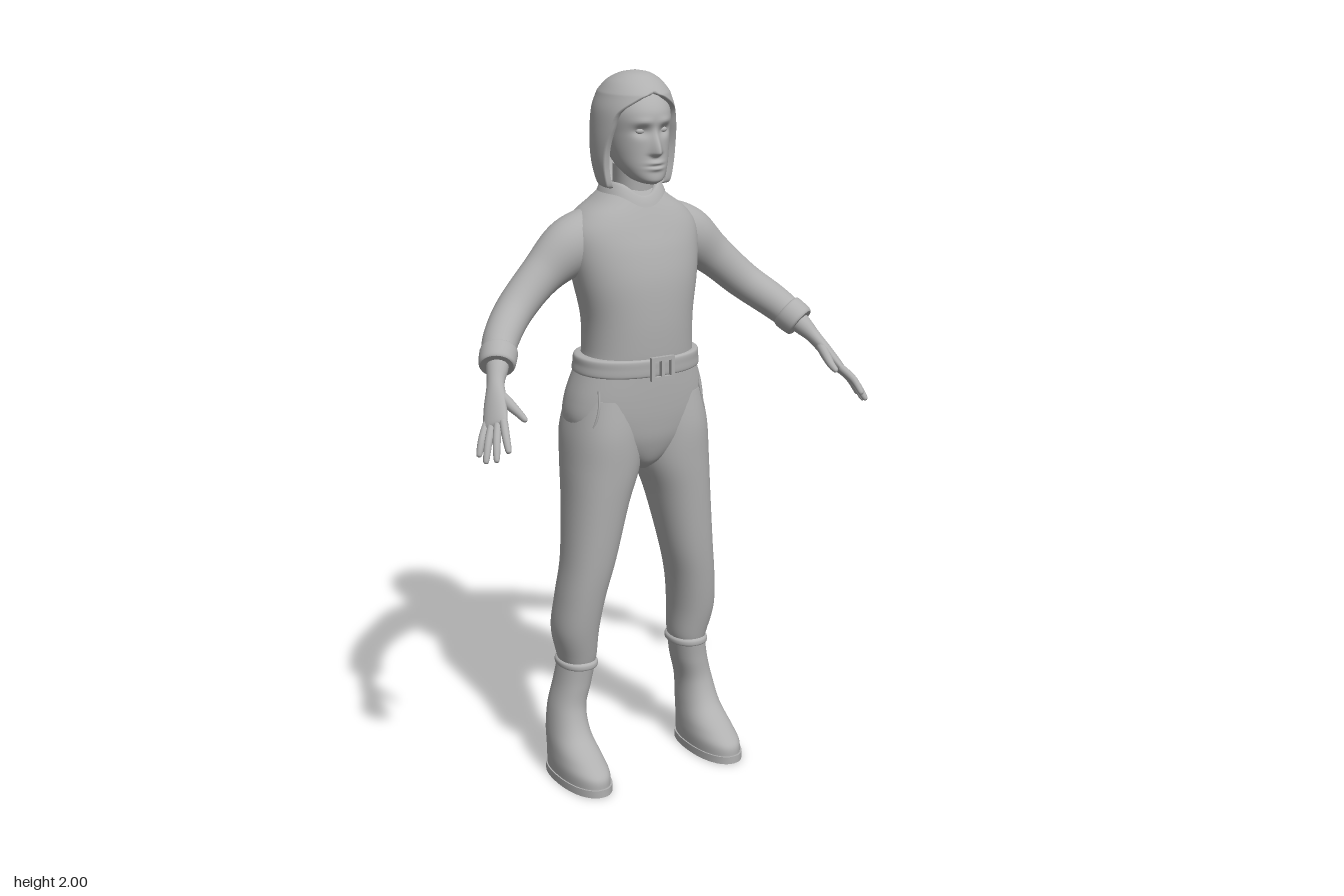
import * as THREE from 'three';

const grey = new THREE.MeshStandardMaterial({ color: 0xb0b0b0, side: THREE.DoubleSide });
grey.name = 'plain grey';

// Catmull-Rom through rows of numbers
function smooth(rows, n) {
  const out = [], last = rows.length - 1;
  const at = (i) => rows[Math.min(last, Math.max(0, i))];
  for (let s = 0; s <= n; s++) {
    const u = (s / n) * last, i = Math.min(last - 1, Math.floor(u)), t = u - i;
    out.push(rows[0].map((_, k) => {
      const [a, b, c, d] = [at(i - 1)[k], at(i)[k], at(i + 1)[k], at(i + 2)[k]];
      return b + 0.5 * t * (c - a + t * (2 * a - 5 * b + 4 * c - d + t * (3 * (b - c) + d - a)));
    }));
  }
  return out;
}

// Skin rings of points; closed rings may get flat end caps
function skin(rings, closed = true, caps = true) {
  const pos = [], index = [], m = rings[0].length;
  rings.forEach((r) => r.forEach((p) => pos.push(p.x, p.y, p.z)));
  for (let i = 0; i < rings.length - 1; i++) {
    for (let j = 0; j < (closed ? m : m - 1); j++) {
      const a = i * m + j, b = i * m + ((j + 1) % m);
      index.push(a, a + m, b, b, a + m, b + m);
    }
  }
  if (closed && caps) {
    for (const [ring, top] of [[rings[0], false], [rings[rings.length - 1], true]]) {
      const start = pos.length / 3, c = new THREE.Vector3();
      ring.forEach((p) => { pos.push(p.x, p.y, p.z); c.addScaledVector(p, 1 / m); });
      pos.push(c.x, c.y, c.z);
      for (let j = 0; j < m; j++) {
        const a = start + j, b = start + ((j + 1) % m);
        index.push(start + m, ...(top ? [b, a] : [a, b]));
      }
    }
  }
  const g = new THREE.BufferGeometry();
  g.setAttribute('position', new THREE.Float32BufferAttribute(pos, 3));
  g.setIndex(index);
  g.computeVertexNormals();
  return g;
}

// Upright body from rows [y, centreX, halfWidth, backZ, frontZ]
function body(rows, { n = 32, seg = 40, power = 2.2, shape, caps = true } = {}) {
  const pw = (v) => Math.sign(v) * Math.abs(v) ** (2 / power);
  return skin(smooth(rows, n).map(([y, cx, rx, zb, zf]) => Array.from({ length: seg }, (_, j) => {
    const a = (j / seg) * Math.PI * 2;
    const p = new THREE.Vector3(cx + rx * pw(Math.cos(a)), y, (zb + zf) / 2 + ((zf - zb) / 2) * pw(Math.sin(a)));
    if (shape) shape(p, a);
    return p;
  })), true, caps);
}

// Limb along a path, rows [x, y, z, radius along ref, radius across]
function limb(rows, ref, n = 24, seg = 20) {
  const d = smooth(rows, n), v = (r) => new THREE.Vector3(r[0], r[1], r[2]);
  return skin(d.map((r, i) => {
    const t = v(d[Math.min(n, i + 1)]).sub(v(d[Math.max(0, i - 1)])).normalize();
    const s = new THREE.Vector3(...ref).addScaledVector(t, -t.dot(new THREE.Vector3(...ref))).normalize();
    const q = s.clone().cross(t);
    return Array.from({ length: seg }, (_, j) => {
      const a = (j / seg) * Math.PI * 2;
      return v(r).addScaledVector(s, r[3] * Math.cos(a)).addScaledVector(q, r[4] * Math.sin(a));
    });
  }));
}

function mirrored(geo) {
  const g = geo.clone().scale(-1, 1, 1), ix = g.index.array;
  for (let i = 0; i < ix.length; i += 3) [ix[i], ix[i + 1]] = [ix[i + 1], ix[i]];
  return g;
}

export function createModel() {
  const model = new THREE.Group();
  const add = (name, geo) => {
    const m = new THREE.Mesh(geo, grey);
    m.name = name;
    model.add(m);
    return m;
  };
  const pair = (name, geo) => { add('left' + name, geo); add('right' + name, mirrored(geo)); };
  const bump = (d, w) => Math.exp(-(d * d) / (w * w));

  // Head with nose, eye sockets, eyelids and lips pushed out of the face
  add('head', body([
    [1.708, 0, 0.018, -0.05, 0.022], [1.72, 0, 0.042, -0.08, 0.034], [1.75, 0, 0.064, -0.13, 0.033],
    [1.79, 0, 0.077, -0.17, 0.03], [1.84, 0, 0.084, -0.185, 0.028], [1.9, 0, 0.086, -0.185, 0.027],
    [1.95, 0, 0.065, -0.15, -0.01], [1.97, 0, 0.03, -0.11, -0.05],
  ], { n: 90, seg: 120, power: 2.1, shape: (p) => {
    if (p.z < -0.03) return;
    const x = Math.abs(p.x), y = p.y;
    const ridge = THREE.MathUtils.smoothstep(1.865 - y, 0, 0.07) * THREE.MathUtils.smoothstep(y, 1.778, 1.794);
    p.z += 0.026 * ridge * bump(x, 0.008 + 0.007 * ridge);
    const ex = (x - 0.034) / 0.02, ey = (y - 1.85) / 0.014;
    p.z -= 0.013 * Math.exp(-ex * ex - ey * ey);
    p.z += 0.005 * bump(y - 1.875, 0.01) * bump(x - 0.034, 0.025);
    p.z += bump(x, 0.022) * (0.007 * bump(y - 1.766, 0.006) + 0.007 * bump(y - 1.751, 0.006) - 0.003 * bump(y - 1.758, 0.003));
  } }));
  pair('Eye', new THREE.SphereGeometry(0.012, 20, 12).scale(1.1, 0.65, 0.7).translate(0.034, 1.85, 0.006));
  add('neck', body([[1.6, 0, 0.06, -0.16, -0.04], [1.68, 0, 0.054, -0.15, -0.035], [1.75, 0, 0.054, -0.15, -0.03]]));

  // Hair shell, open around the face, edges turned inward
  const hairRows = smooth([ // y, halfWidth, backZ, frontZ, opening half angle
    [2.0, 0.004, -0.085, -0.077, 0], [1.993, 0.04, -0.125, -0.04, 0], [1.975, 0.07, -0.165, -0.01, 0],
    [1.95, 0.09, -0.195, 0.017, 0.02], [1.935, 0.097, -0.205, 0.025, 0.38], [1.9, 0.108, -0.217, 0.034, 0.87],
    [1.85, 0.113, -0.221, 0.036, 1.07], [1.8, 0.114, -0.22, 0.036, 1.22], [1.75, 0.111, -0.212, 0.034, 1.3],
    [1.7, 0.1, -0.193, 0.025, 1.33], [1.69, 0.085, -0.175, 0.0, 1.36],
  ], 60).reverse();
  add('hair', skin(hairRows.map(([y, rx, zb, zf, open]) => {
    const ring = [], o = Math.max(0, open), cz = (zb + zf) / 2;
    for (let j = -1; j <= 49; j++) {
      const k = j < 0 || j > 48 ? 0.84 : 1;
      const a = Math.PI / 2 + o + (Math.min(48, Math.max(0, j)) / 48) * (Math.PI * 2 - 2 * o);
      const s = o > 0.01 ? k : 1;
      ring.push(new THREE.Vector3(s * rx * Math.cos(a), y, cz + (s * (zf - zb) / 2) * Math.sin(a)));
    }
    return ring;
  }), false));

  // Sweater body, collar and sleeves
  add('sweater', body([
    [1.21, 0, 0.165, -0.2, 0.045], [1.25, 0, 0.158, -0.198, 0.05], [1.34, 0, 0.159, -0.203, 0.053],
    [1.44, 0, 0.178, -0.22, 0.048], [1.52, 0, 0.192, -0.237, 0.032], [1.577, 0, 0.19, -0.235, 0.013],
    [1.62, 0, 0.16, -0.222, -0.004], [1.655, 0, 0.112, -0.205, -0.02], [1.685, 0, 0.075, -0.188, -0.037],
  ], { n: 48, seg: 64, shape: (p) => {
    if (p.z < -0.1) p.z += 0.012 * bump(p.x, 0.03) * bump(p.y - 1.4, 0.13);
  } }));
  add('collar', body([
    [1.675, 0, 0.09, -0.197, -0.012], [1.69, 0, 0.083, -0.192, -0.018], [1.705, 0, 0.072, -0.18, -0.028], [1.7, 0, 0.058, -0.16, -0.04],
  ], { n: 10, seg: 48, caps: false, shape: (p, a) => { p.y -= 0.035 * Math.max(0, Math.sin(a)) ** 5; } }));
  pair('Sleeve', limb([
    [0.08, 1.56, -0.125, 0.085, 0.085], [0.18, 1.53, -0.122, 0.074, 0.082], [0.27, 1.465, -0.12, 0.056, 0.06],
    [0.36, 1.385, -0.1, 0.054, 0.052], [0.43, 1.325, -0.045, 0.05, 0.048], [0.472, 1.278, 0.015, 0.044, 0.042],
  ], [0, 0, 1], 36, 32));
  pair('SleeveCuff', limb([
    [0.452, 1.302, -0.014, 0.046, 0.044], [0.456, 1.297, -0.008, 0.052, 0.05],
    [0.474, 1.276, 0.018, 0.05, 0.048], [0.478, 1.271, 0.024, 0.045, 0.043],
  ], [0, 0, 1], 12, 32));

  // Hands: forearm and palm, four fingers, thumb
  const across = [0.45, -0.25, -0.85], knuckles = [0.54, 1.155, 0.135];
  pair('Hand', limb([
    [0.455, 1.3, -0.01, 0.034, 0.034], [0.48, 1.265, 0.03, 0.03, 0.028], [0.5, 1.235, 0.06, 0.025, 0.02],
    [0.519, 1.198, 0.095, 0.034, 0.018], [...knuckles, 0.038, 0.014], [0.545, 1.146, 0.144, 0.032, 0.008],
  ].map((r) => r.flat()), across));
  [[0.55, 1.1, 0.232], [0.577, 1.075, 0.215], [0.592, 1.065, 0.182], [0.596, 1.075, 0.15]].forEach((tip, i) => {
    const base = knuckles.map((k, c) => k + across[c] * (-0.028 + i * 0.0187));
    const mid = base.map((b, c) => (b + tip[c]) / 2 + (c === 1 ? 0.006 : 0.003));
    const near = tip.map((t, c) => t + (mid[c] - t) * 0.15);
    pair('Finger' + (i + 1), limb([
      [...base, 0.011, 0.011], [...mid, 0.0105, 0.0105], [...near, 0.008, 0.008], [...tip, 0.002, 0.002],
    ], across, 14, 12));
  });
  pair('Thumb', limb([
    [0.505, 1.22, 0.08, 0.014, 0.014], [0.496, 1.198, 0.125, 0.015, 0.014], [0.487, 1.18, 0.165, 0.011, 0.011],
    [0.484, 1.17, 0.193, 0.008, 0.008], [0.484, 1.168, 0.2, 0.002, 0.002],
  ], across, 16, 12));

  // Belt and open buckle
  add('belt', body([
    [1.184, 0, 0.17, -0.208, 0.045], [1.188, 0, 0.183, -0.217, 0.053], [1.21, 0, 0.181, -0.216, 0.055],
    [1.231, 0, 0.178, -0.213, 0.055], [1.236, 0, 0.16, -0.2, 0.046],
  ], { seg: 64 }));
  const frame = new THREE.Shape([[-0.036, -0.033], [0.036, -0.033], [0.036, 0.033], [-0.036, 0.033]].map((p) => new THREE.Vector2(...p)));
  frame.holes.push(new THREE.Path([[-0.025, -0.022], [-0.025, 0.022], [0.025, 0.022], [0.025, -0.022]].map((p) => new THREE.Vector2(...p))));
  add('buckle', new THREE.ExtrudeGeometry(frame, { depth: 0.012, bevelEnabled: false })).position.set(0, 1.211, 0.06);
  add('bucklePin', new THREE.BoxGeometry(0.01, 0.06, 0.012)).position.set(0, 1.211, 0.066);

  // Trousers: hips, legs, gathered hems, pocket edges
  add('hips', body([
    [0.9, 0, 0.02, -0.13, -0.03], [0.93, 0, 0.07, -0.175, 0.005], [0.99, 0, 0.165, -0.218, 0.03],
    [1.05, 0, 0.206, -0.233, 0.04], [1.12, 0, 0.201, -0.23, 0.045], [1.2, 0, 0.173, -0.213, 0.047],
  ], { seg: 64, shape: (p) => { if (p.z < -0.1) p.z += 0.02 * bump(p.x, 0.018) * bump(p.y - 1.02, 0.09); } }));
  pair('TrouserLeg', body([
    [0.335, 0.183, 0.048, -0.165, -0.045], [0.36, 0.184, 0.054, -0.171, -0.038], [0.44, 0.191, 0.064, -0.175, -0.02],
    [0.54, 0.18, 0.067, -0.166, -0.003], [0.65, 0.159, 0.074, -0.162, 0.012], [0.81, 0.133, 0.089, -0.187, 0.026],
    [0.92, 0.112, 0.106, -0.212, 0.034], [1.02, 0.107, 0.104, -0.226, 0.036], [1.12, 0.097, 0.092, -0.205, 0.025],
  ], { n: 48 }));
  pair('TrouserHem', body([
    [0.322, 0.183, 0.05, -0.17, -0.042], [0.326, 0.183, 0.056, -0.177, -0.036],
    [0.338, 0.183, 0.056, -0.177, -0.036], [0.344, 0.183, 0.048, -0.168, -0.042],
  ], { n: 10 }));
  pair('PocketEdge', new THREE.TubeGeometry(new THREE.CatmullRomCurve3([
    [0.158, 1.15, -0.005], [0.163, 1.1, 0.003], [0.176, 1.05, -0.004], [0.192, 1.015, -0.03],
  ].map((p) => new THREE.Vector3(...p))), 16, 0.004, 6));

  // Boots with flat soles
  pair('Boot', body([
    [0.02, 0.217, 0.065, -0.176, 0.106], [0.05, 0.217, 0.065, -0.176, 0.1], [0.08, 0.217, 0.062, -0.177, 0.06],
    [0.13, 0.217, 0.056, -0.18, -0.012], [0.2, 0.212, 0.05, -0.18, -0.046], [0.27, 0.195, 0.05, -0.176, -0.048],
    [0.335, 0.183, 0.05, -0.17, -0.042],
  ], { n: 40 }));
  pair('Sole', body([[0, 0.217, 0.069, -0.181, 0.112], [0.022, 0.217, 0.069, -0.181, 0.112]], { n: 1 }));

  return model;
}
